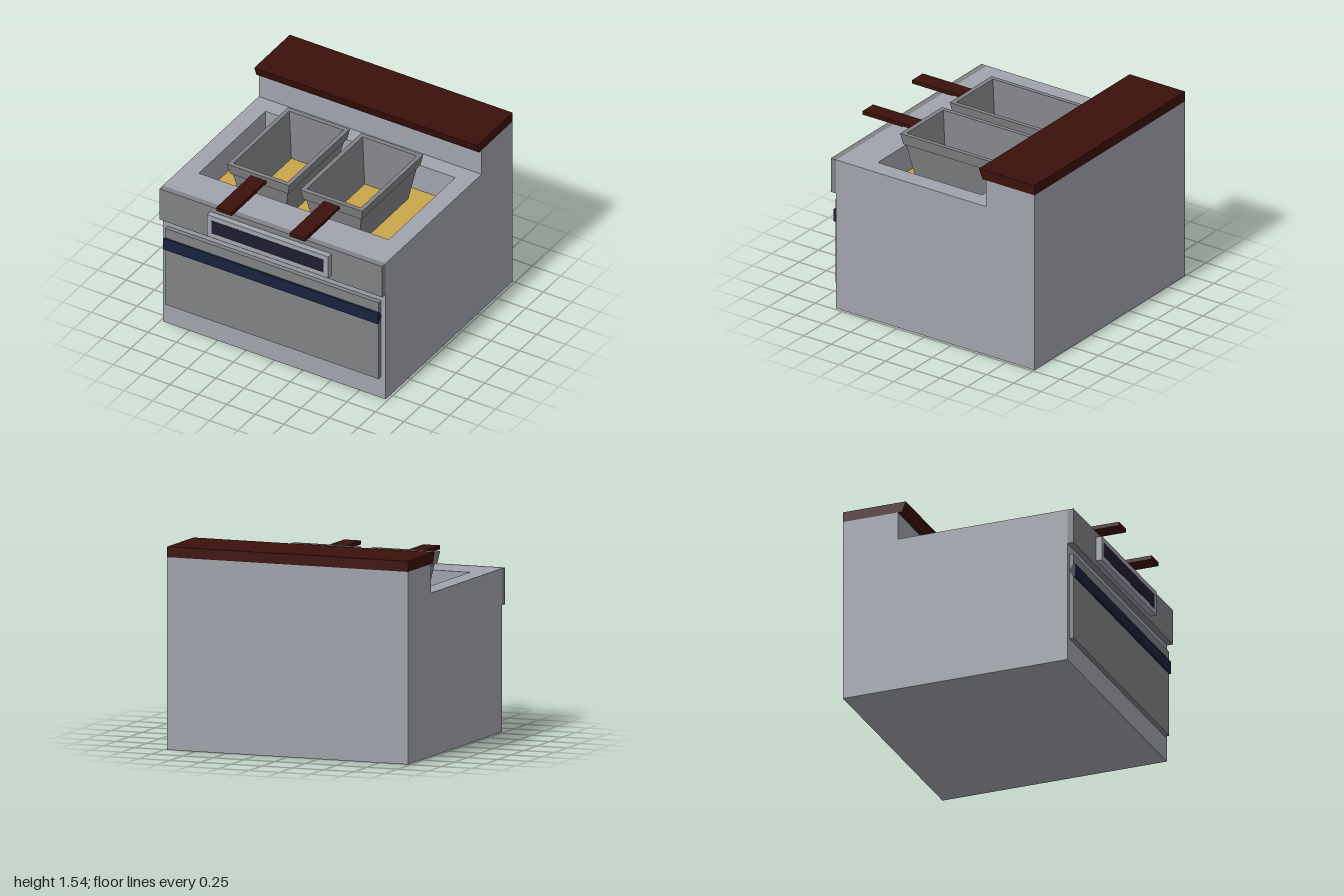
import * as THREE from 'three';

const mat = (color, side = THREE.FrontSide) =>
  new THREE.MeshStandardMaterial({ color, side, flatShading: true });
const steel = mat(0xa0a3ac), grey = mat(0x808184), basketGrey = mat(0x808184, THREE.DoubleSide);
const red = mat(0x3c110c), navy = mat(0x18223c), purple = mat(0x221c30), gold = mat(0xc8a64a);

function mesh(name, geometry, material, parent) {
  const m = new THREE.Mesh(geometry, material);
  m.name = name;
  parent.add(m);
  return m;
}

// Box given by its limits on each axis
function box(name, [x0, x1], [y0, y1], [z0, z1], material, parent) {
  const g = new THREE.BoxGeometry(x1 - x0, y1 - y0, z1 - z0);
  g.translate((x0 + x1) / 2, (y0 + y1) / 2, (z0 + z1) / 2);
  return mesh(name, g, material, parent);
}

// Side profile of [z, y] points, extruded along x between -half and half
function sideProfile(name, points, half, material, parent) {
  const shape = new THREE.Shape(points.map(([z, y]) => new THREE.Vector2(-z, y)));
  const g = new THREE.ExtrudeGeometry(shape, { depth: 2 * half, bevelEnabled: false });
  g.translate(0, 0, -half);
  g.rotateY(Math.PI / 2);
  return mesh(name, g, material, parent);
}

function rectPath(path, x0, x1, y0, y1) {
  path.moveTo(x0, y0);
  path.lineTo(x1, y0);
  path.lineTo(x1, y1);
  path.lineTo(x0, y1);
  path.closePath();
  return path;
}

// Rectangular rings [halfX, halfZ, y] joined by flat walls
function ringWalls(rings) {
  const corners = rings.map(([a, b, y]) => [[-a, y, b], [a, y, b], [a, y, -b], [-a, y, -b]]);
  const pos = [];
  for (let r = 0; r < rings.length - 1; r++) {
    for (let i = 0; i < 4; i++) {
      const j = (i + 1) % 4;
      const a = corners[r][i], b = corners[r][j], c = corners[r + 1][j], d = corners[r + 1][i];
      pos.push(...a, ...b, ...c, ...a, ...c, ...d);
    }
  }
  const g = new THREE.BufferGeometry();
  g.setAttribute('position', new THREE.Float32BufferAttribute(pos, 3));
  g.computeVertexNormals();
  return g;
}

export function createModel() {
  const model = new THREE.Group();
  model.name = 'deepFryer';
  const W = 0.98;

  // Cabinet and raised back
  const cabinet = new THREE.Group();
  cabinet.name = 'cabinet';
  model.add(cabinet);
  box('base', [-W, W], [0, 1], [-1, 0.82], steel, cabinet);
  box('backsplash', [-W, W], [1, 1.46], [-1, -0.555], steel, cabinet);

  // Worktop with the opening of the oil vat
  const deck = rectPath(new THREE.Shape(), -W, W, -0.82, 0.555);
  deck.holes.push(rectPath(new THREE.Path(), -0.835, 0.835, -0.54, 0.415));
  const deckGeo = new THREE.ExtrudeGeometry(deck, { depth: 0.24, bevelEnabled: false });
  deckGeo.rotateX(-Math.PI / 2);
  deckGeo.translate(0, 1, 0);
  mesh('worktop', deckGeo, steel, cabinet);
  box('oil', [-0.835, 0.835], [0.99, 1.01], [-0.415, 0.54], gold, model);

  // Sloped-front shelf on the back
  sideProfile('topShelf', [[-1, 1.46], [-0.52, 1.46], [-0.49, 1.54], [-1, 1.54]], W, red, model);

  // Control panel and display
  box('controlPanel', [-W, W], [0.96, 1.24], [0.82, 0.87], grey, model);
  box('displayFrame', [-0.533, 0.533], [1, 1.195], [0.87, 0.918], steel, model);
  box('display', [-0.493, 0.493], [1.04, 1.155], [0.9, 0.92], purple, model);

  // Front door with a full-width grip
  box('door', [-0.94, 0.94], [0.19, 0.885], [0.82, 0.855], grey, model);
  sideProfile('doorHandle',
    [[0.82, 0.75], [0.85, 0.7], [0.87, 0.7], [0.87, 0.8], [0.85, 0.8]], 0.943, navy, model);

  // Two open baskets with stepped rims and flat handles
  for (const [label, x] of [['right', -0.332], ['left', 0.313]]) {
    const basket = new THREE.Group();
    basket.name = label + 'Basket';
    basket.position.set(x, 0, 0.075);
    model.add(basket);
    mesh('basketWalls', ringWalls([
      [0.192, 0.352, 1.01], [0.242, 0.405, 1.3], [0.257, 0.42, 1.3],
      [0.273, 0.437, 1.39], [0.238, 0.4, 1.39], [0.187, 0.346, 1.01],
    ]), basketGrey, basket);
    sideProfile('basketHandle',
      [[0.42, 1.333], [0.56, 1.333], [0.56, 1.327], [0.925, 1.327], [0.925, 1.357], [0.42, 1.357]],
      0.068, red, basket);
  }
  return model;
}
